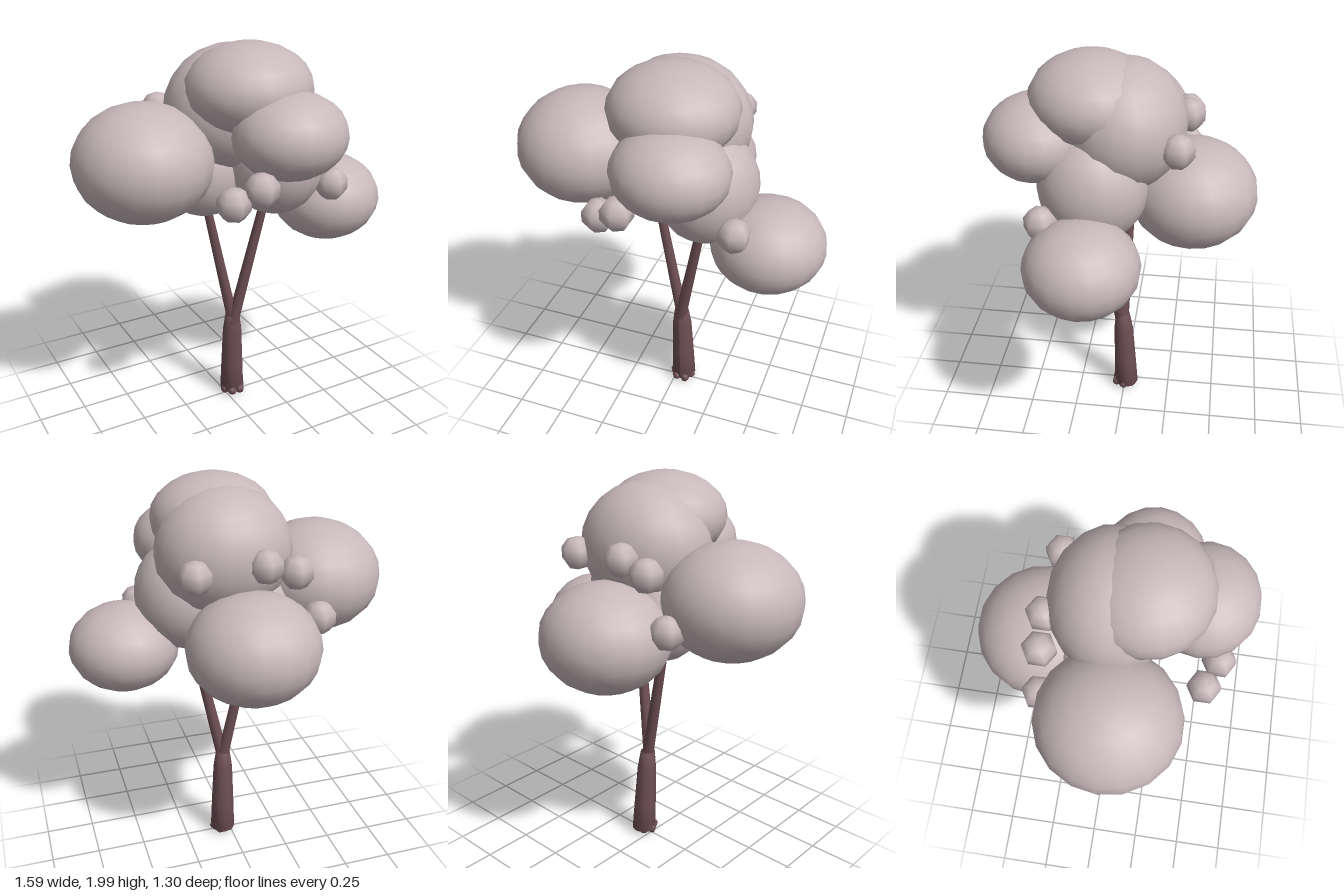
import * as THREE from 'three';

export function createModel() {
  const tree = new THREE.Group();
  tree.name = 'tree';
  const foliage = new THREE.MeshStandardMaterial({ color: 0xc8b8bb });
  foliage.name = 'pale mauve foliage';
  const bark = new THREE.MeshStandardMaterial({ color: 0x6e4f54 });
  bark.name = 'brown bark';

  const add = (name, geometry, material, position = [0, 0, 0]) => {
    const mesh = new THREE.Mesh(geometry, material);
    mesh.name = name;
    mesh.position.set(...position);
    tree.add(mesh);
    return mesh;
  };

  // Tapered limb between two points
  const limb = (name, from, to, r0, r1) => {
    const a = new THREE.Vector3(...from), b = new THREE.Vector3(...to);
    const dir = b.clone().sub(a);
    const mesh = add(name, new THREE.CylinderGeometry(r1, r0, dir.length(), 8), bark);
    mesh.position.copy(a).lerp(b, 0.5);
    mesh.quaternion.setFromUnitVectors(new THREE.Vector3(0, 1, 0), dir.normalize());
  };

  // Trunk: leaning lathe that narrows at the fork
  const profile = [[0, 0.03], [0.066, 0.03], [0.06, 0.2], [0.051, 0.42], [0.038, 0.51], [0, 0.515]];
  const trunk = new THREE.LatheGeometry(profile.map(([r, y]) => new THREE.Vector2(r, y)), 10);
  const p = trunk.attributes.position;
  for (let i = 0; i < p.count; i++) {
    const y = p.getY(i);
    p.setXYZ(i, p.getX(i) + 0.045 - 0.02 * y, y, p.getZ(i) - 0.012 + 0.04 * y);
  }
  trunk.computeVertexNormals();
  add('trunk', trunk, bark);

  // Root knobs around the foot
  for (let i = 0; i < 6; i++) {
    const a = (i / 6) * Math.PI * 2;
    const knob = add('rootKnob', new THREE.SphereGeometry(0.026, 6, 4), bark,
      [0.043 + 0.047 * Math.cos(a), 0.034, 0.047 * Math.sin(a)]);
    knob.scale.y = 0.9 + 0.2 * (i % 2);
    knob.rotation.y = a;
  }

  // Forked branches
  limb('rightBranch', [0.04, 0.46, 0.01], [-0.12, 1.25, -0.02], 0.032, 0.022);
  limb('leftBranch', [0.03, 0.46, 0.02], [0.18, 1.22, 0.1], 0.032, 0.022);

  // Leaf clumps: name, centre, radii
  const clumps = [
    ['rightClump', [-0.465, 1.47, 0.05], [0.335, 0.28, 0.34]],
    ['leftClump', [0.515, 1.16, 0.14], [0.278, 0.222, 0.275]],
    ['topClump', [0.04, 1.785, 0.15], [0.31, 0.215, 0.3]],
    ['upperBackClump', [0.03, 1.66, 0], [0.34, 0.31, 0.3]],
    ['frontClump', [0.115, 1.61, 0.4], [0.275, 0.203, 0.255]],
    ['middleClump', [0.2, 1.41, 0.13], [0.25, 0.28, 0.265]],
    ['lowerBackClump', [-0.015, 1.285, -0.335], [0.325, 0.267, 0.32]],
    ['coreClump', [-0.1, 1.35, -0.04], [0.23, 0.24, 0.21]],
  ];
  for (const [name, centre, radii] of clumps) {
    add(name, new THREE.SphereGeometry(1, 18, 12), foliage, centre).scale.set(...radii);
  }

  // Small faceted tufts tucked between the clumps
  const tufts = [
    [-0.21, 1.355, 0.46], [-0.095, 1.42, 0.51], [0.4, 1.31, 0.345],
    [-0.36, 1.38, -0.29], [-0.235, 1.62, -0.29], [-0.085, 1.665, -0.295], [0.24, 1.635, -0.265],
  ];
  for (const t of tufts) {
    add('tuft', new THREE.SphereGeometry(0.083, 6, 5), foliage, t).rotation.y = Math.PI / 2;
  }
  return tree;
}
